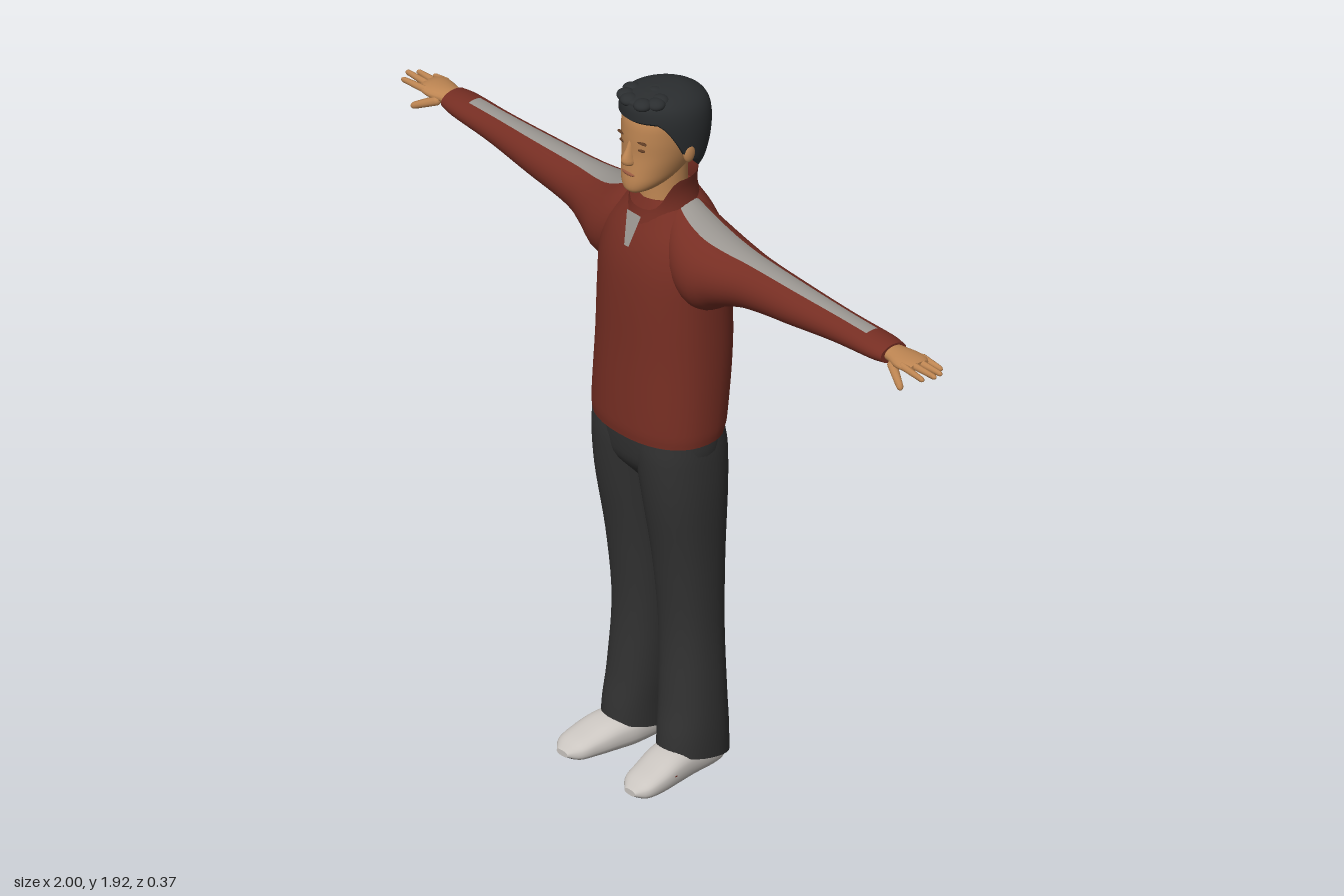
import * as THREE from 'three';

const mat = (name, color, side = THREE.FrontSide) => {
  const m = new THREE.MeshStandardMaterial({ color, side });
  m.name = name;
  return m;
};

// Cubic interpolation of [t, a0, a1, b0, b1] sections at t
function section(rows, t) {
  let i = 0;
  while (i < rows.length - 2 && t > rows[i + 1][0]) i++;
  const p = rows[i], q = rows[i + 1], h = q[0] - p[0];
  const o = rows[Math.max(i - 1, 0)], r = rows[Math.min(i + 2, rows.length - 1)];
  const u = Math.min(Math.max((t - p[0]) / h, 0), 1);
  return [1, 2, 3, 4].map(k => {
    const m0 = (q[k] - o[k]) / (q[0] - o[0]) * h, m1 = (r[k] - p[k]) / (r[0] - p[0]) * h;
    return p[k] * (2 * u ** 3 - 3 * u * u + 1) + m0 * (u ** 3 - 2 * u * u + u)
      + q[k] * (3 * u * u - 2 * u ** 3) + m1 * (u ** 3 - u * u);
  });
}

// Loft of rounded sections along an axis. Section spans: y axis (x, z), x axis (z, y), z axis (y, x).
// start/end trim the length by angle; second(t, angle) picks faces for the second material.
function loft(axis, rows, { n = 32, m = 32, pow = 2, start, end, second, caps = true } = {}) {
  const pos = [], idx = [[], []];
  const t0 = rows[0][0], t1 = rows[rows.length - 1][0];
  const place = { x: (t, a, b) => [t, b, a], y: (t, a, b) => [a, t, b], z: (t, a, b) => [b, a, t] }[axis];
  const bend = v => Math.sign(v) * Math.abs(v) ** (2 / pow);
  const at = (j, i) => {
    const th = i / n * Math.PI * 2, u = (1 - Math.cos(j / m * Math.PI)) / 2;
    const lo = start ? start(th) : t0, hi = end ? end(th) : t1, t = lo + (hi - lo) * u;
    const [a0, a1, b0, b1] = section(rows, t);
    return place(t, (a0 + a1) / 2 + (a1 - a0) / 2 * bend(Math.cos(th)), (b0 + b1) / 2 + (b1 - b0) / 2 * bend(Math.sin(th)));
  };
  for (let j = 0; j <= m; j++) for (let i = 0; i < n; i++) pos.push(...at(j, i));
  for (let j = 0; j < m; j++) for (let i = 0; i < n; i++) {
    const k = (i + 1) % n, a = j * n + i, b = j * n + k, c = a + n, d = b + n;
    const u = (1 - Math.cos((j + 0.5) / m * Math.PI)) / 2;
    const g = second && second(t0 + (t1 - t0) * u, (i + 0.5) / n * Math.PI * 2) ? 1 : 0;
    idx[g].push(a, c, b, b, c, d);
  }
  if (caps) for (const j of [0, m]) {
    const base = pos.length / 3, mid = [0, 0, 0];
    for (let i = 0; i < n; i++) {
      const p = at(j, i);
      pos.push(...p);
      p.forEach((v, k) => { mid[k] += v / n; });
    }
    pos.push(...mid);
    for (let i = 0; i < n; i++) {
      const a = base + i, b = base + (i + 1) % n;
      idx[0].push(...(j ? [a, base + n, b] : [a, b, base + n]));
    }
  }
  const g = new THREE.BufferGeometry();
  g.setAttribute('position', new THREE.Float32BufferAttribute(pos, 3));
  g.setIndex([...idx[0], ...idx[1]]);
  if (second) {
    g.addGroup(0, idx[0].length, 0);
    g.addGroup(idx[0].length, idx[1].length, 1);
  }
  g.computeVertexNormals();
  return g;
}

// Mirror across x, keeping faces outward
function mirrored(geo) {
  const g = geo.clone().scale(-1, 1, 1), ix = g.index.array;
  for (let i = 0; i < ix.length; i += 3) [ix[i], ix[i + 1]] = [ix[i + 1], ix[i]];
  g.computeVertexNormals();
  return g;
}

const ball = (x, y, z, rx, ry, rz) => new THREE.SphereGeometry(1, 20, 14).scale(rx, ry, rz).translate(x, y, z);

// Rounded finger between two points
function finger(p, q, r) {
  const a = new THREE.Vector3(...p), b = new THREE.Vector3(...q), d = b.clone().sub(a), len = d.length();
  const g = new THREE.CapsuleGeometry(r, len - 2 * r, 5, 10);
  const v = g.attributes.position;
  for (let i = 0; i < v.count; i++) {
    const s = 1 - 0.35 * (v.getY(i) / len + 0.5);
    v.setX(i, v.getX(i) * s);
    v.setZ(i, v.getZ(i) * s);
  }
  g.applyQuaternion(new THREE.Quaternion().setFromUnitVectors(new THREE.Vector3(0, 1, 0), d.normalize()));
  g.translate(...a.add(b).multiplyScalar(0.5).toArray());
  g.computeVertexNormals();
  return g;
}

export function createModel() {
  const model = new THREE.Group();
  model.name = 'standingMan';
  const red = mat('jacketRed', 0x762e23, THREE.DoubleSide), grey = mat('stripeGrey', 0x9b9792, THREE.DoubleSide);
  const skin = mat('skin', 0xbd8552), hairMat = mat('hairBlack', 0x2b2e30, THREE.DoubleSide);
  const cloth = mat('trouserCharcoal', 0x323232), white = mat('shoeWhite', 0xcac5c0), sole = mat('soleBlack', 0x242424);
  const brown = mat('browBrown', 0x5f3c24), lip = mat('lipBrown', 0x98593f);
  const add = (name, geo, m) => {
    const mesh = new THREE.Mesh(geo, m);
    mesh.name = name;
    model.add(mesh);
  };
  const pair = (name, geo, m) => {
    add('left' + name, geo, m);
    add('right' + name, mirrored(geo), m);
  };
  const sym = rows => rows.map(([y, w, z0, z1]) => [y, -w, w, z0, z1]);
  const smooth = THREE.MathUtils.smoothstep;

  // Jacket body, collar and front neck insert
  add('jacketBody', loft('y', sym([
    [0.97, 0.188, -0.145, 0.115], [1.0, 0.191, -0.155, 0.118], [1.2, 0.188, -0.18, 0.11], [1.36, 0.184, -0.178, 0.105],
    [1.45, 0.182, -0.172, 0.096], [1.52, 0.165, -0.16, 0.076], [1.57, 0.125, -0.146, 0.052], [1.62, 0.075, -0.12, 0.03]]),
  { pow: 2.25, n: 40 }), red);
  add('collar', loft('y', sym([[1.55, 0.105, -0.14, 0.06], [1.61, 0.088, -0.124, 0.05], [1.65, 0.085, -0.117, 0.055], [1.69, 0.092, -0.118, 0.065]]),
    { m: 12, caps: false, end: th => 1.688 - 0.09 * smooth(Math.sin(th), 0.2, 1) }), red);
  const wedge = new THREE.ShapeGeometry(new THREE.Shape([[-0.008, 1.5], [0.008, 1.5], [0.026, 1.585], [-0.026, 1.585]].map(p => new THREE.Vector2(...p))));
  const wp = wedge.attributes.position;
  for (let i = 0; i < wp.count; i++) wp.setZ(i, 0.09 - (wp.getY(i) - 1.5) * 0.3);
  wedge.computeVertexNormals();
  add('neckInsert', wedge, grey);

  // Sleeves with a stripe along the top
  pair('Sleeve', loft('x', [
    [0.06, -0.12, 0.02, 1.44, 1.625], [0.12, -0.14, 0.055, 1.37, 1.6], [0.18, -0.152, 0.06, 1.35, 1.573],
    [0.24, -0.145, 0.04, 1.383, 1.556], [0.32, -0.13, 0.015, 1.41, 1.547], [0.5, -0.115, 0.002, 1.437, 1.542],
    [0.65, -0.11, -0.012, 1.455, 1.535], [0.79, -0.114, -0.018, 1.467, 1.528], [0.83, -0.108, -0.024, 1.474, 1.524]],
  { m: 48, second: (x, th) => x < 0.75 && Math.abs(th - Math.PI / 2) < Math.PI / 8 }), [red, grey]);

  // Hands
  pair('Palm', loft('x', [
    [0.8, -0.094, -0.038, 1.483, 1.517], [0.84, -0.1, -0.035, 1.481, 1.519], [0.88, -0.109, -0.024, 1.483, 1.519],
    [0.91, -0.108, -0.025, 1.489, 1.517], [0.925, -0.098, -0.036, 1.495, 1.512]], { n: 20, m: 14 }), skin);
  [[-0.1, -0.114, 0.96, 1.488], [-0.079, -0.086, 0.99, 1.498], [-0.057, -0.058, 1, 1.504], [-0.036, -0.03, 0.985, 1.5]].forEach(([z0, z1, x, y], i) =>
    pair('Finger' + (i + 1), finger([0.89, 1.504, z0], [x, y, z1], 0.0105), skin));
  pair('Thumb', finger([0.85, 1.495, -0.04], [0.925, 1.456, -0.008], 0.0135), skin);

  // Trousers
  add('hips', loft('y', sym([[0.83, 0.1, -0.1, 0.05], [0.88, 0.165, -0.13, 0.09], [0.93, 0.183, -0.138, 0.102], [0.985, 0.184, -0.138, 0.108]]),
    { pow: 2.2, m: 14 }), cloth);
  pair('TrouserLeg', loft('y', [
    [0.03, 0.034, 0.177, -0.137, 0.063], [0.12, 0.028, 0.178, -0.135, 0.057], [0.2, 0.02, 0.175, -0.132, 0.045],
    [0.4, 0.01, 0.166, -0.13, 0.034], [0.6, 0.003, 0.172, -0.131, 0.052], [0.8, -0.008, 0.184, -0.137, 0.086],
    [0.92, -0.02, 0.184, -0.139, 0.1], [0.97, -0.02, 0.18, -0.132, 0.1]],
  { pow: 2.2, start: th => 0.056 + 0.022 * Math.sin(th) }), cloth);

  // Shoes with dark soles
  pair('Shoe', loft('z', [
    [-0.125, 0.02, 0.065, 0.08, 0.13], [-0.1, 0.003, 0.085, 0.055, 0.15], [0, 0, 0.092, 0.042, 0.165],
    [0.06, 0, 0.088, 0.05, 0.174], [0.12, 0, 0.068, 0.065, 0.178], [0.165, 0.003, 0.05, 0.08, 0.172], [0.19, 0.014, 0.03, 0.108, 0.148]],
  { pow: 2.5, second: (z, th) => Math.cos(th) < -0.76 }), [white, sole]);
  pair('ShoeAccent', ball(0.168, 0.045, 0.08, 0.008, 0.008, 0.014), red);

  // Neck and head
  add('neck', loft('y', sym([[1.56, 0.068, -0.1, 0.035], [1.63, 0.06, -0.095, 0.03], [1.72, 0.06, -0.095, 0.03]]), { m: 8 }), skin);
  add('head', loft('y', sym([
    [1.652, 0.02, 0.03, 0.078], [1.662, 0.038, -0.01, 0.088], [1.685, 0.058, -0.06, 0.09], [1.715, 0.071, -0.1, 0.086],
    [1.76, 0.083, -0.125, 0.08], [1.81, 0.088, -0.135, 0.08], [1.86, 0.083, -0.125, 0.074], [1.895, 0.055, -0.09, 0.05]]),
  { pow: 2.15 }), skin);
  add('nose', loft('y', sym([
    [1.732, 0.011, 0.06, 0.092], [1.74, 0.018, 0.06, 0.102], [1.752, 0.014, 0.06, 0.104], [1.775, 0.009, 0.06, 0.091], [1.8, 0.007, 0.06, 0.08]]),
  { n: 16, m: 12 }), skin);
  pair('Ear', ball(0.094, 1.765, -0.035, 0.011, 0.03, 0.018).rotateY(0), skin);
  pair('Eye', ball(0.033, 1.782, 0.07, 0.014, 0.0045, 0.006), brown);
  pair('Eyebrow', ball(0.035, 1.804, 0.071, 0.019, 0.0035, 0.006), brown);
  add('mouth', ball(0, 1.708, 0.083, 0.023, 0.006, 0.007), lip);

  // Hair shell trimmed along the hairline, with short tufts
  add('hair', loft('y', sym([
    [1.685, 0.075, -0.118, 0.03], [1.72, 0.092, -0.14, 0.045], [1.78, 0.103, -0.157, 0.065], [1.84, 0.106, -0.16, 0.082],
    [1.88, 0.098, -0.146, 0.087], [1.905, 0.078, -0.11, 0.085], [1.917, 0.05, -0.07, 0.075], [1.921, 0.015, -0.02, 0.03]]),
  { n: 48, start: th => 1.69 + 0.05 * smooth(Math.sin(th), -0.7, 0) + 0.125 * smooth(Math.sin(th), 0.1, 0.75) }), hairMat);
  for (let i = 0; i < 7; i++) {
    const a = i * 2.4;
    add('hairTuft' + (i + 1), ball(0.05 * Math.cos(a), 1.908, 0.035 + 0.035 * Math.sin(a), 0.024, 0.015, 0.024), hairMat);
  }
  return model;
}
